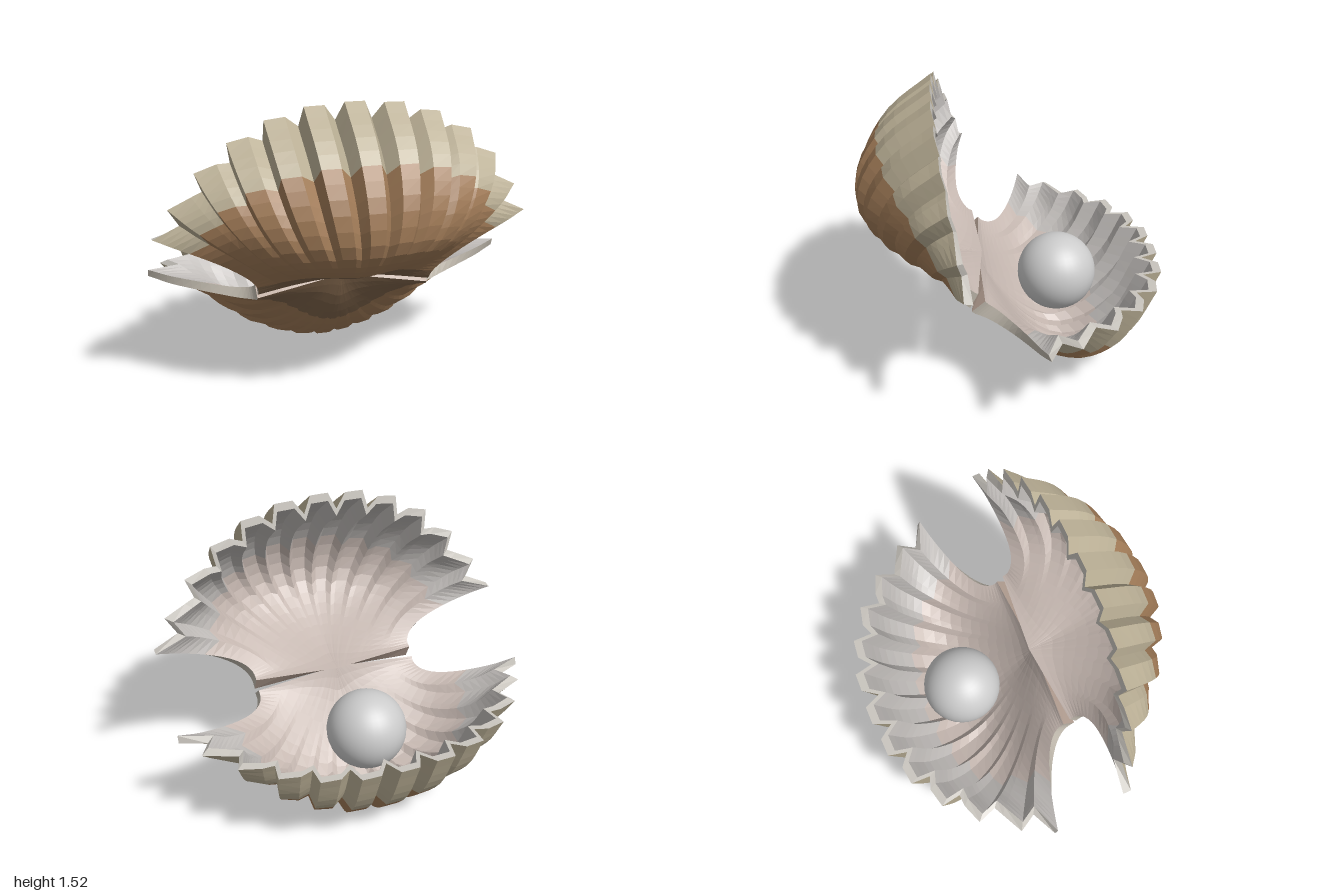
import * as THREE from 'three';

const RIBS = 6;   // ribs on each side of the middle one
const ROWS = 20;  // steps from hinge to rim

// Middle rib profile: distance from hinge, depth
const profile = new THREE.CatmullRomCurve3([
  [0.05, 0], [0.1, 0.14], [0.2, 0.295], [0.31, 0.42], [0.42, 0.505], [0.53, 0.54],
  [0.71, 0.485], [0.91, 0.285], [1.04, 0],
].map(([u, d]) => new THREE.Vector3(u, d, 0)));

// Fan columns: two ridge lines per rib, one groove between ribs.
// The ridge line nearer the middle sinks more on the outer ribs, giving a stepped rim.
const columns = [{ s: -1, groove: 0 }];
for (let i = -RIBS; i <= RIBS; i++) {
  if (Math.abs(i) < RIBS) {
    for (const side of [-1, 1]) {
      const s = (i + 0.25 * side) / RIBS;
      columns.push({ s, groove: i * side < 0 ? 0.9 * Math.abs(s) : 0 });
    }
  }
  if (i < RIBS) columns.push({ s: (i + 0.5) / RIBS, groove: 1 });
}
columns.push({ s: 1, groove: 0 });

// Point of a valve: x across, u away from the hinge, d depth below the rim plane
function valvePoint({ s, groove }, t, inner) {
  const a = Math.abs(s);
  const p = profile.getPointAt(t);
  const f = (p.x - 0.05) / 0.99;
  const h = a ** 4;
  const hingeX = 0.47 * h;
  const hingeU = inner ? 0.05 + 0.02 * h : 0.05 * (1 - h);
  const hingeD = inner ? 0.01 * h - 0.025 * (1 - h) : 0.07 * h;
  const shrink = inner ? 0.957 : 1;
  const rimX = (a === 1 ? 1 : shrink) * 1.122 * Math.sin(1.1 * a);
  const rimU = shrink * (-0.205 + 1.245 * Math.cos(1.1 * a) + 0.035 * Math.sin(Math.PI * a));
  // Ribs swell sideways in the middle of the fan and pinch in at the ears
  const g = f + (0.8 - 1.9 * h) * f * (1 - f);
  let d = hingeD * (1 - f) ** 3 + Math.cos(a * 1.396) * p.y * (inner ? 0.96 : 1);
  if (inner) d -= 0.03 * (1 - 0.5 * h) * Math.sin(Math.PI * t);
  // Ears keep a thick lip
  d += (inner ? -0.015 : 0.025) * h * f;
  const k = 1 - 0.09 * groove * Math.sin(t * Math.PI / 2);
  return {
    x: Math.sign(s) * (hingeX + (rimX - hingeX) * g) * k,
    u: (hingeU + (rimU - hingeU) * f) * k,
    d: d * k,
  };
}

const material = (color) => new THREE.MeshStandardMaterial({
  color, flatShading: true, side: THREE.DoubleSide,
});

// Faceted sheet through a grid of points
function sheet(name, rows, color, flip) {
  const pos = [];
  const tri = (a, b, c) => {
    for (const p of flip ? [a, c, b] : [a, b, c]) pos.push(p.x, p.y, p.z);
  };
  for (let r = 0; r < rows.length - 1; r++) {
    for (let c = 0; c < rows[r].length - 1; c++) {
      const a = rows[r][c], b = rows[r][c + 1];
      const e = rows[r + 1][c], f = rows[r + 1][c + 1];
      tri(a, b, f);
      tri(a, f, e);
    }
  }
  const geo = new THREE.BufferGeometry();
  geo.setAttribute('position', new THREE.Float32BufferAttribute(pos, 3));
  geo.computeVertexNormals();
  const mesh = new THREE.Mesh(geo, material(color));
  mesh.name = name;
  return mesh;
}

function makeValve(name, place, flip) {
  const valve = new THREE.Group();
  valve.name = name;
  const layer = (inner) => Array.from({ length: ROWS + 1 }, (_, r) =>
    columns.map((col) => place(valvePoint(col, r / ROWS, inner))));
  const out = layer(false);
  const inn = layer(true);
  const back = [...inn].reverse();
  const add = (part, rows, color) => valve.add(sheet(part, rows, color, flip));

  // Outside colour bands
  add('outerHingeBand', out.slice(0, 6), 0x80654b);
  add('outerMiddleBand', out.slice(5, 16), 0xa27c58);
  add('outerRimBand', out.slice(15), 0xbbb096);
  // Lip, lining and hinge edge
  add('rimLip', [out[ROWS], inn[ROWS]], 0xc8c4bd);
  add('innerRimBand', back.slice(0, 8), 0xbdb9b6);
  add('innerLining', back.slice(7), 0xc5b7b0);
  add('hingeEdge', [inn[0], out[0]], 0xb5a093);
  // Side edges
  const last = columns.length - 1;
  add('leftEdge', out.map((row, r) => [row[last], inn[r][last]]), 0xc0b9ad);
  add('rightEdge', out.map((row, r) => [inn[r][0], row[0]]), 0xc0b9ad);
  return valve;
}

export function createModel() {
  const model = new THREE.Group();
  model.name = 'openShell';

  // Lower valve lies flat, opening upward
  model.add(makeValve('lowerValve', ({ x, u, d }) =>
    new THREE.Vector3(x, 0.54 - d, 0.22 - u), true));

  // Upper valve stands up, leaning toward the front
  const tilt = 0.233, c = Math.cos(tilt), n = Math.sin(tilt);
  model.add(makeValve('upperValve', ({ x, u, d }) =>
    new THREE.Vector3(x, 0.51 + c * u - n * d, 0.16 + n * u + c * d), false));

  // Pearl
  const pearl = new THREE.Mesh(
    new THREE.SphereGeometry(0.217, 32, 24),
    new THREE.MeshStandardMaterial({ color: 0xcccccc }),
  );
  pearl.name = 'pearl';
  pearl.position.set(0, 0.423, -0.27);
  model.add(pearl);

  return model;
}
